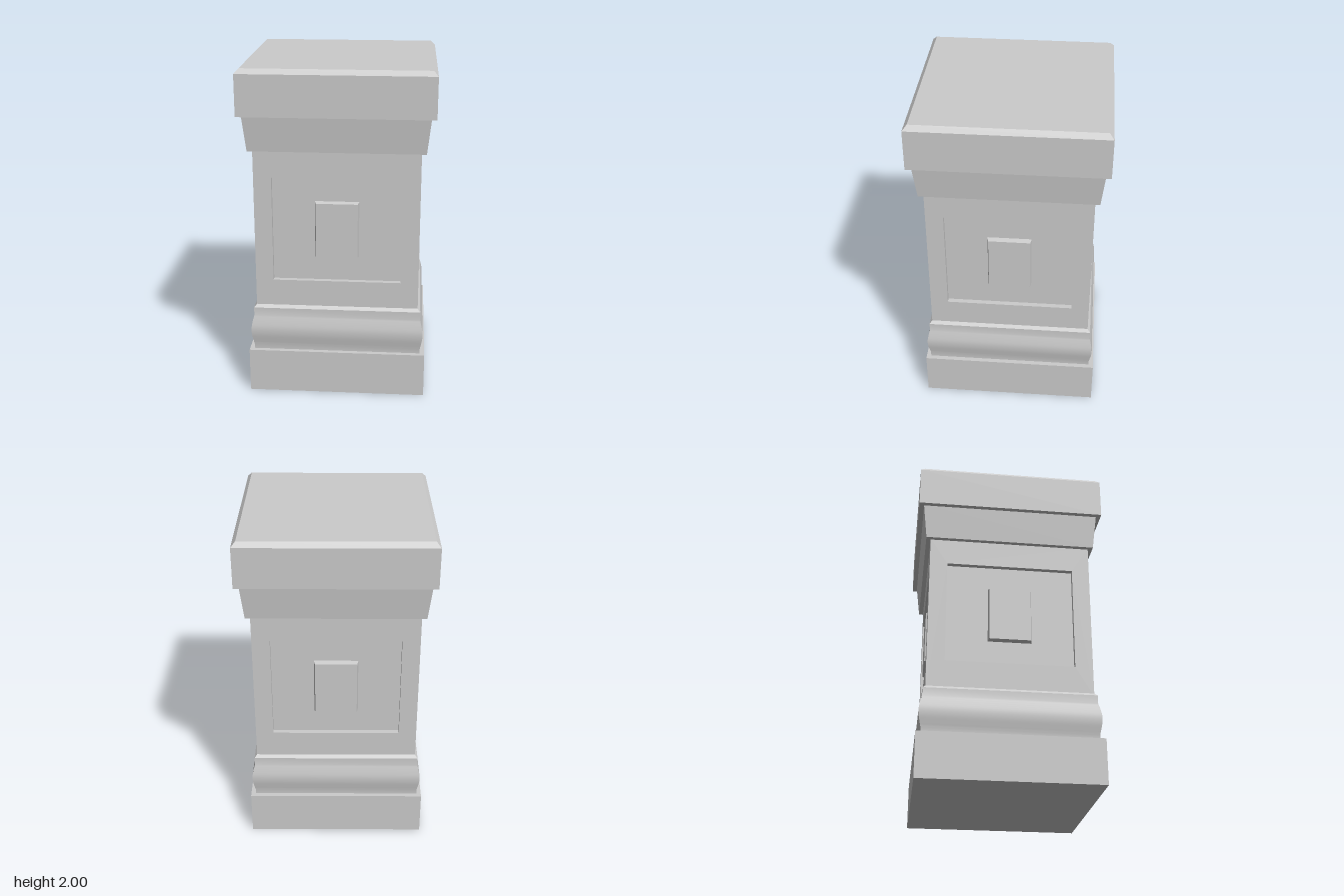
import * as THREE from 'three';
import { toCreasedNormals } from 'three/addons/utils/BufferGeometryUtils.js';

const material = new THREE.MeshStandardMaterial({ color: 0xcccccc });
const SHAFT = 0.485; // half width of the shaft
const CORE = 0.455; // half width at the bottom of the recessed panels

function addMesh(parent, name, geometry) {
  const mesh = new THREE.Mesh(geometry, material);
  mesh.name = name;
  parent.add(mesh);
  return mesh;
}

// Square moulding: sweeps a [halfWidth, y] profile (bottom to top) round four sides
function squareMoulding(profile) {
  const points = profile.map(([w, y]) => new THREE.Vector2(w * Math.SQRT2, y));
  const geometry = new THREE.LatheGeometry(points, 4);
  geometry.rotateY(Math.PI / 4);
  return toCreasedNormals(geometry, 0.45);
}

// Rectangle outline as a closed path
function rectangle(path, x, y0, y1) {
  path.moveTo(-x, y0);
  path.lineTo(x, y0);
  path.lineTo(x, y1);
  path.lineTo(-x, y1);
  path.closePath();
  return path;
}

// Frame round the recess, mitred at the shaft corners
function frameGeometry() {
  const shape = rectangle(new THREE.Shape(), SHAFT, 0.54, 1.53);
  shape.holes.push(rectangle(new THREE.Path(), 0.38, 0.72, 1.36));
  const geometry = new THREE.ExtrudeGeometry(shape, { depth: SHAFT - CORE, bevelEnabled: false });
  geometry.translate(0, 0, CORE);
  const p = geometry.attributes.position;
  for (let i = 0; i < p.count; i++) {
    if (Math.abs(p.getX(i)) > 0.45 && p.getZ(i) < CORE + 0.01) p.setX(i, Math.sign(p.getX(i)) * CORE);
  }
  geometry.computeVertexNormals();
  return geometry;
}

// Raised tablet with slightly tapered sides
function tabletGeometry() {
  const geometry = new THREE.BoxGeometry(0.26, 0.344, 0.03).toNonIndexed();
  const p = geometry.attributes.position;
  for (let i = 0; i < p.count; i++) {
    if (p.getZ(i) > 0) p.setXY(i, p.getX(i) - Math.sign(p.getX(i)) * 0.007, p.getY(i) - Math.sign(p.getY(i)) * 0.007);
  }
  geometry.computeVertexNormals();
  geometry.translate(0, 1.04, CORE + 0.015);
  return geometry;
}

export function createModel() {
  const model = new THREE.Group();
  model.name = 'pedestal';

  // Plinth
  addMesh(model, 'plinth', new THREE.BoxGeometry(1.064, 0.27, 1.064)).position.y = 0.135;

  // Curved base moulding, with a vertical fillet and a sloped top
  const curve = new THREE.SplineCurve(
    [[0.504, 0.3], [0.51, 0.33], [0.517, 0.37], [0.518, 0.41], [0.511, 0.45], [0.501, 0.49]]
      .map(([w, y]) => new THREE.Vector2(w, y)));
  const bulge = curve.getPoints(16).map((v) => [v.x, v.y]);
  addMesh(model, 'baseMoulding', squareMoulding(
    [[0.504, 0.265], ...bulge, [0.501, 0.54], [0.483, 0.56]]));

  // Shaft core and the recessed panel with its tablet on each side
  addMesh(model, 'shaftCore', new THREE.BoxGeometry(CORE * 2, 0.99, CORE * 2)).position.y = 1.035;
  const frame = frameGeometry();
  const tablet = tabletGeometry();
  ['front', 'left', 'back', 'right'].forEach((side, i) => {
    const face = new THREE.Group();
    face.name = side + 'Panel';
    face.rotation.y = i * Math.PI / 2;
    addMesh(face, 'panelFrame', frame);
    addMesh(face, 'raisedTablet', tablet);
    model.add(face);
  });

  // Flared neck under the cap
  addMesh(model, 'neck', squareMoulding([[0, 1.52], [0.512, 1.52], [0.535, 1.735]]));

  // Cap slab with a chamfered top edge
  addMesh(model, 'cap', squareMoulding(
    [[0, 1.73], [0.563, 1.73], [0.563, 1.972], [0.537, 2], [0, 2]]));

  return model;
}
